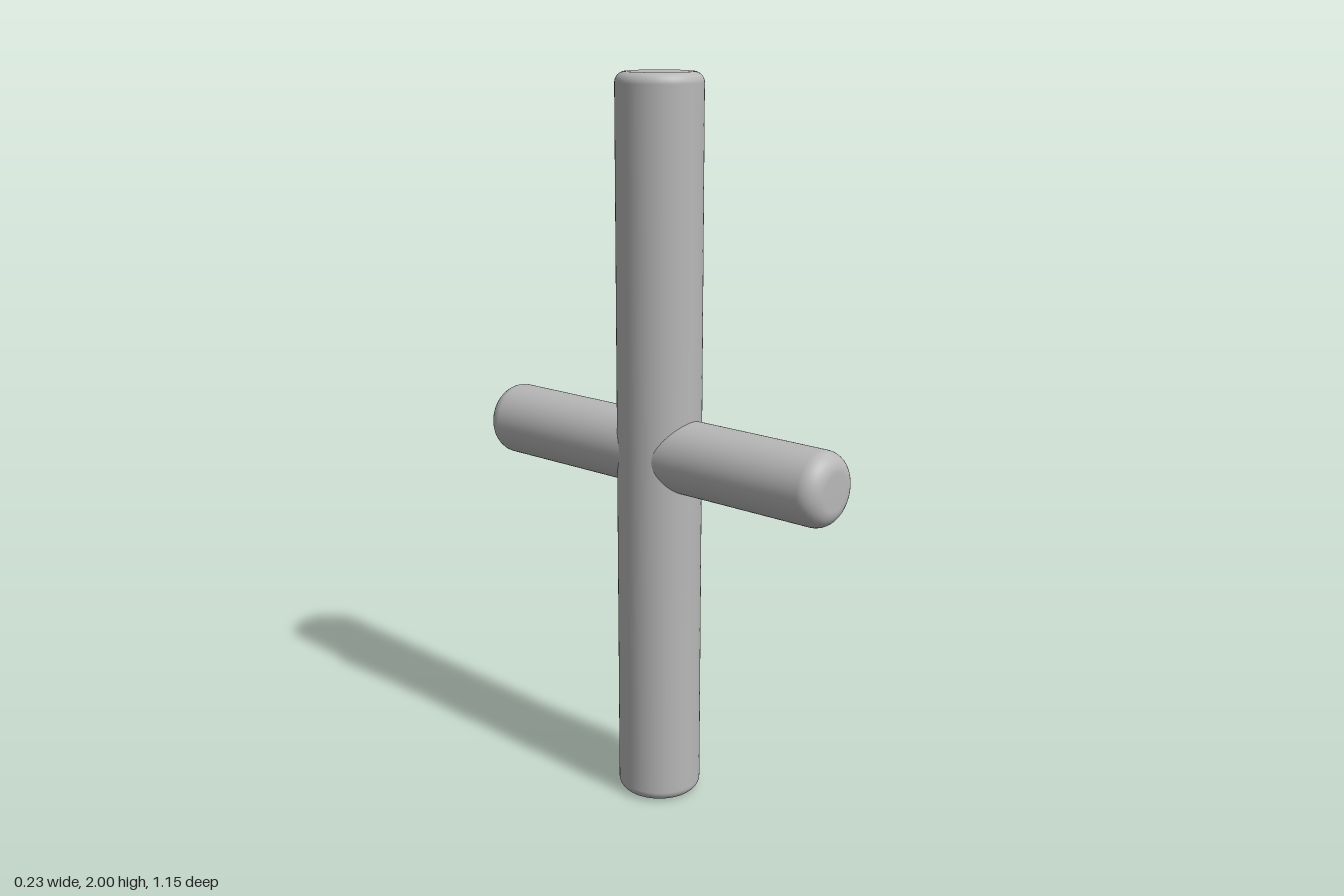
import * as THREE from 'three';

// Solid round bar along y, centred at the origin, with rounded end edges
function roundedBar(radius, length, bevel, steps = 8) {
  const half = length / 2;
  const points = [new THREE.Vector2(0, -half)];
  for (const end of [-1, 1]) {
    for (let i = 0; i <= steps; i++) {
      const a = (end < 0 ? i - steps : i) / steps * Math.PI / 2;
      points.push(new THREE.Vector2(
        radius - bevel + bevel * Math.cos(a),
        end * (half - bevel) + bevel * Math.sin(a)));
    }
  }
  points.push(new THREE.Vector2(0, half));
  return new THREE.LatheGeometry(points, 64);
}

export function createModel() {
  const group = new THREE.Group();
  const grey = new THREE.MeshStandardMaterial({ color: 0xb8b8b8 });
  grey.name = 'grey';

  // Tall upright post
  const post = new THREE.Mesh(roundedBar(0.115, 2, 0.028), grey);
  post.name = 'post';
  post.position.y = 1;

  // Shorter bar passing through the post from front to back
  const crossbar = new THREE.Mesh(roundedBar(0.1, 1.15, 0.05), grey);
  crossbar.name = 'crossbar';
  crossbar.position.y = 1;
  crossbar.rotation.x = Math.PI / 2;

  group.add(post, crossbar);
  return group;
}
